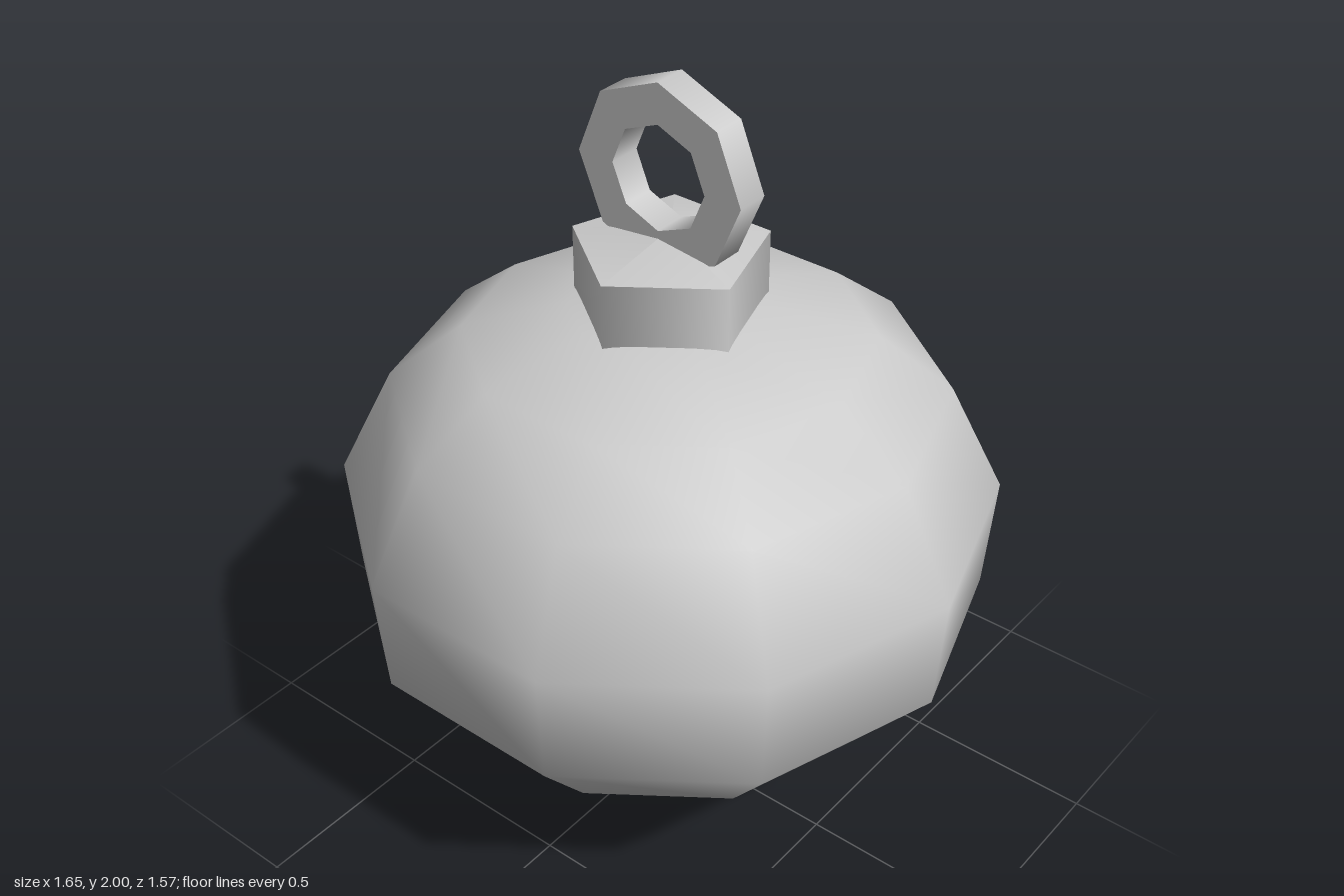
import * as THREE from 'three';

const material = new THREE.MeshStandardMaterial({ color: 0xcccccc });

// Lathe from [radius, y] points; repeating a point makes a sharp edge there
function lathe(name, profile, sides, startAngle = 0) {
  const points = profile.map(([r, y]) => new THREE.Vector2(r, y));
  const mesh = new THREE.Mesh(new THREE.LatheGeometry(points, sides, startAngle), material);
  mesh.name = name;
  return mesh;
}

export function createModel() {
  const model = new THREE.Group();
  model.name = 'hangingOrnament';

  // Ten-sided rounded body with a corner on the x axis
  model.add(lathe('body', [
    [0, 0.19], [0.24, 0.21], [0.592, 0.36], [0.803, 0.615], [0.824, 0.92],
    [0.685, 1.2], [0.5, 1.345], [0.24, 1.42], [0, 1.44],
  ], 10, Math.PI / 2));

  // Five-sided collars, each closed by a shallow point
  const collarRadius = 0.245;
  model.add(lathe('topCollar', [
    [collarRadius, 1.41], [collarRadius, 1.58], [collarRadius, 1.58], [0, 1.62],
  ], 5));
  model.add(lathe('bottomCollar', [
    [0, 0], [collarRadius, 0.053], [collarRadius, 0.053], [collarRadius, 0.22],
  ].flatMap((p) => [p]), 5));

  // Eight-sided hanging ring with a rectangular section, sunk into the top collar
  const outer = 0.234, inner = 0.133, half = 0.043;
  const ring = lathe('hangingRing', [
    [outer, -half], [outer, half], [outer, half], [inner, half],
    [inner, half], [inner, -half], [inner, -half], [outer, -half],
  ], 8);
  ring.rotation.x = Math.PI / 2;
  ring.position.y = 2 - outer;
  model.add(ring);

  return model;
}
